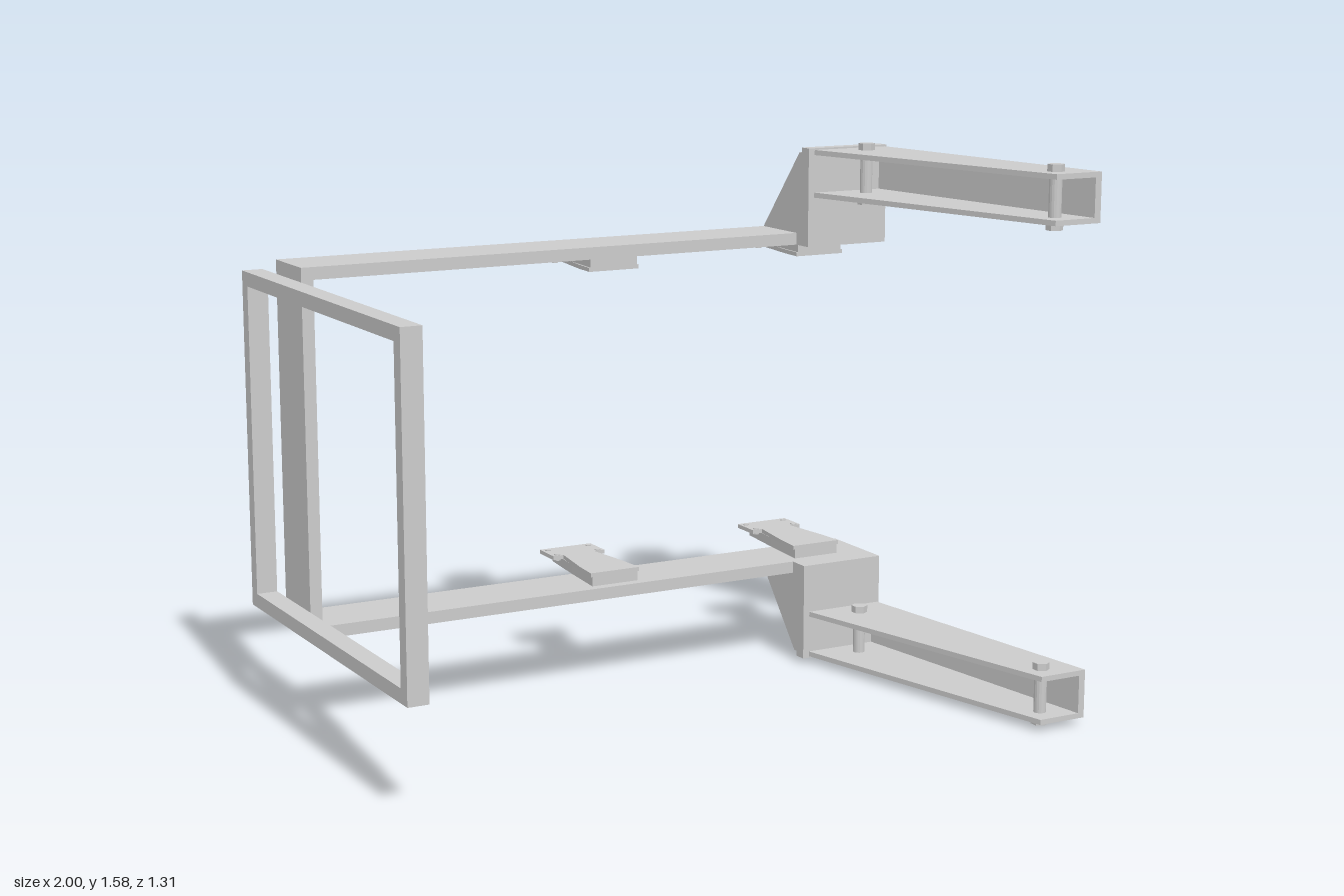
import * as THREE from 'three';

const material = new THREE.MeshStandardMaterial({ color: 0xcccccc, flatShading: true });
const MID = 0.79; // height of the mirror plane between upper and lower halves

function add(group, name, geometry) {
  const mesh = new THREE.Mesh(geometry, material);
  mesh.name = name;
  group.add(mesh);
  return mesh;
}

// Box given by its limits on each axis
function box(group, name, [x0, x1], [y0, y1], [z0, z1]) {
  const mesh = add(group, name, new THREE.BoxGeometry(x1 - x0, y1 - y0, z1 - z0));
  mesh.position.set((x0 + x1) / 2, (y0 + y1) / 2, (z0 + z1) / 2);
}

function extrude(points, depth) {
  const shape = new THREE.Shape(points.map(([a, b]) => new THREE.Vector2(a, b)));
  return new THREE.ExtrudeGeometry(shape, { depth, bevelEnabled: false });
}

// Horizontal plate with an outline of [x, z] points
function slab(group, name, points, [y0, y1]) {
  const geometry = extrude(points.map(([x, z]) => [x, -z]), y1 - y0);
  add(group, name, geometry.rotateX(-Math.PI / 2).translate(0, y0, 0));
}

// Upright plate with an outline of [z, y] points
function cheek(group, name, points, [x0, x1]) {
  const geometry = extrude(points.map(([z, y]) => [-z, y]), x1 - x0);
  add(group, name, geometry.rotateY(Math.PI / 2).translate(x0, 0, 0));
}

function bolt(group, name, x, z, [y0, y1], radius, sides) {
  const mesh = add(group, name, new THREE.CylinderGeometry(radius, radius, y1 - y0, sides));
  mesh.position.set(x, (y0 + y1) / 2, z);
}

// One half: heights are given for the upper half, and flipped for the lower
function buildHalf(upper) {
  const half = new THREE.Group();
  half.name = upper ? 'upperHalf' : 'lowerHalf';
  const py = (y) => (upper ? y : 2 * MID - y);
  const span = (a, b) => (upper ? [a, b] : [py(b), py(a)]);

  box(half, 'beam', [-0.94, 0.62], span(1.275, 1.31), [-0.49, -0.3]);

  // Corner bracket, open at the back
  const bracket = new THREE.Group();
  bracket.name = 'cornerBracket';
  half.add(bracket);
  box(bracket, 'bracketBase', [0.62, 0.89], span(1.275, 1.31), [-0.49, -0.235]);
  box(bracket, 'bracketFront', [0.62, 0.89], span(1.31, 1.565), [-0.25, -0.235]);
  box(bracket, 'bracketCap', [0.62, 0.89], span(1.55, 1.565), [-0.275, -0.25]);
  const profile = [[-0.25, 1.31], [-0.25, 1.55], [-0.287, 1.55], [-0.49, 1.31]];
  for (const x of [0.62, 0.877]) {
    cheek(bracket, 'bracketCheek', profile.map(([z, y]) => [z, py(y)]), [x, x + 0.013]);
  }

  // Tapered channel arm, open on the inner side
  const arm = new THREE.Group();
  arm.name = 'arm';
  half.add(arm);
  const flange = [[0.64, -0.235], [0.885, -0.235], [1, 0.655], [0.85, 0.655]];
  slab(arm, 'armFlange', flange, span(1.545, 1.56));
  slab(arm, 'armFlange', flange, span(1.42, 1.435));
  slab(arm, 'armWeb', [[0.865, -0.235], [0.885, -0.235], [1, 0.655], [0.98, 0.655]], span(1.435, 1.545));
  for (const [x, z] of [[0.775, -0.165], [0.895, 0.59]]) {
    bolt(arm, 'armBoltShaft', x, z, span(1.42, 1.56), 0.018, 16);
    bolt(arm, 'armBoltHead', x, z, span(1.56, 1.58), 0.024, 6);
    bolt(arm, 'armBoltNut', x, z, span(1.4, 1.42), 0.024, 6);
  }

  // Mounting lugs with a flared plate
  for (const x of [0.025, 0.72]) {
    const lug = new THREE.Group();
    lug.name = 'mountingLug';
    half.add(lug);
    slab(lug, 'lugStem', [[x - 0.075, -0.33], [x + 0.075, -0.33], [x + 0.062, -0.49],
      [x + 0.045, -0.655], [x - 0.045, -0.655], [x - 0.062, -0.49]], span(1.247, 1.275));
    const side = [[0.08, -0.33], [0.074, -0.41], [0.064, -0.48], [0.052, -0.565], [0.086, -0.565], [0.086, -0.658]];
    const outline = [...side.map(([w, z]) => [x + w, z]), ...side.map(([w, z]) => [x - w, z]).reverse()];
    slab(lug, 'lugPlate', outline, span(1.235, 1.247));
    for (const dx of [-0.068, 0.068]) {
      for (const z of [-0.575, -0.638]) bolt(lug, 'lugBolt', x + dx, z, span(1.232, 1.251), 0.01, 8);
    }
  }
  return half;
}

export function createModel() {
  const model = new THREE.Group();
  model.name = 'liftFrame';

  // Rectangular side frame
  const frame = new THREE.Group();
  frame.name = 'sideFrame';
  model.add(frame);
  for (const y of [0.31, 1.23]) box(frame, 'frameRail', [-1, -0.94], [y, y + 0.04], [-0.6, 0.515]);
  for (const z of [-0.6, 0.475]) box(frame, 'framePost', [-1, -0.94], [0.35, 1.23], [z, z + 0.04]);

  // Upright joining the two beams
  box(model, 'upright', [-0.94, -0.905], [0.305, 1.275], [-0.49, -0.3]);

  model.add(buildHalf(true), buildHalf(false));
  return model;
}
